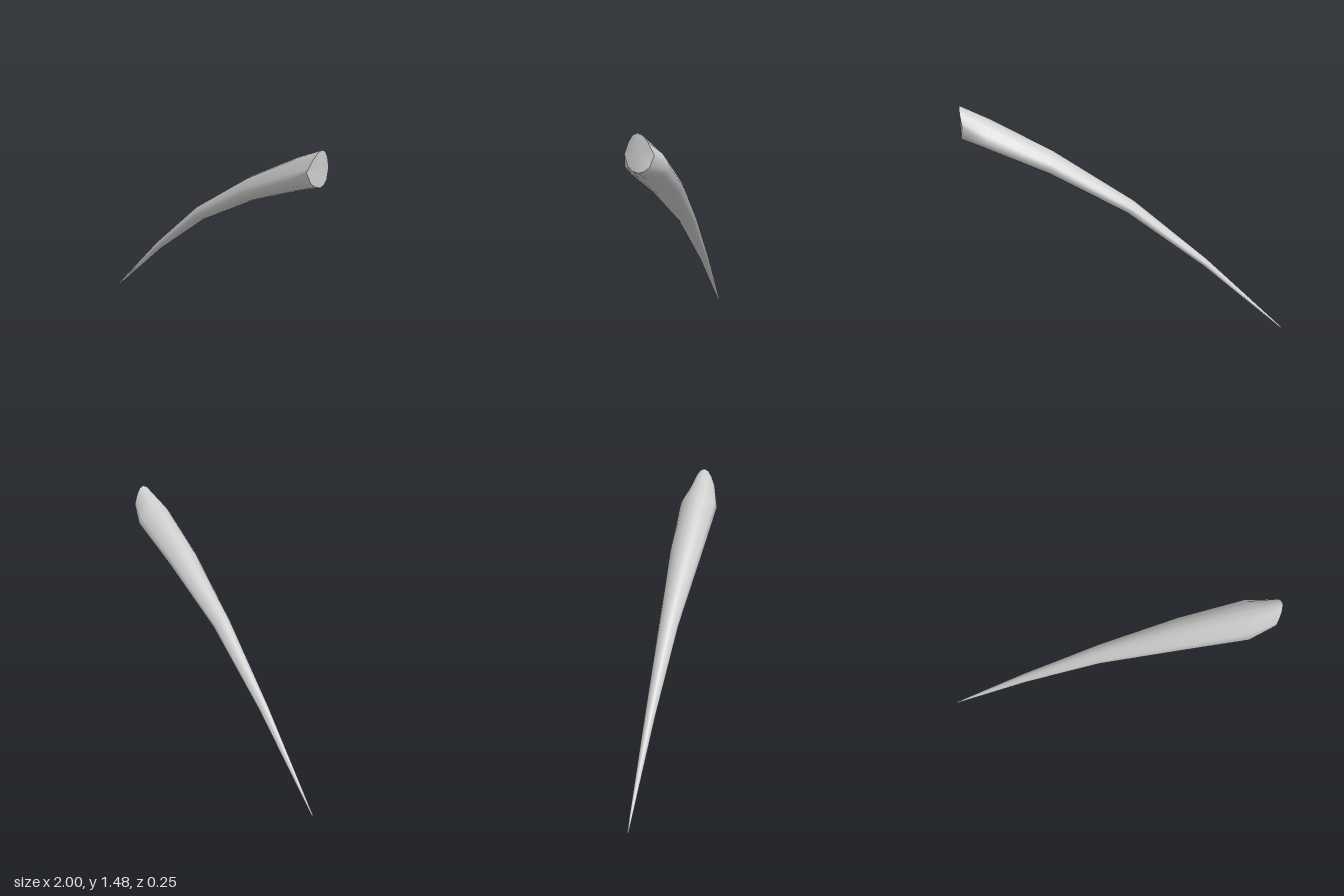
import * as THREE from 'three';

// Stations along the horn: [topX, topY, bottomX, bottomY, halfWidth]
const STATIONS = [
  [-1, 0.012, -0.997, 0, 0.005],
  [-0.5, 0.492, -0.485, 0.442, 0.032],
  [-0.04, 0.882, 0, 0.802, 0.062],
  [0.45, 1.2, 0.465, 1.056, 0.105],
  [0.815, 1.395, 0.84, 1.215, 0.125],
  [1, 1.48, 1, 1.275, 0.08],
];

// Half cross-section, narrow above and broad below: [width, height]
const HALF = [[0, 1], [0.34, 0.88], [0.64, 0.55], [0.86, 0.15], [1, -0.28], [0.72, -0.7], [0.36, -0.92], [0, -1]];
const SECTION = [...HALF, ...HALF.slice(1, -1).reverse().map(([w, h]) => [-w, h])];
const N = SECTION.length;

function ring([tx, ty, bx, by, half], isEnd) {
  return SECTION.map(([w, h]) => {
    const t = (1 + (isEnd && Math.abs(w) === 1 ? -0.1 : h)) / 2;
    const bow = isEnd ? -0.025 * w * w : 0; // the butt end bulges along its middle
    return [bx + (tx - bx) * t + bow, by + (ty - by) * t, w * half];
  });
}

function makeMesh(name, points, index, material) {
  const geometry = new THREE.BufferGeometry();
  geometry.setAttribute('position', new THREE.Float32BufferAttribute(points.flat(), 3));
  geometry.setIndex(index);
  geometry.computeVertexNormals();
  const mesh = new THREE.Mesh(geometry, material);
  mesh.name = name;
  return mesh;
}

export function createModel() {
  const group = new THREE.Group();
  group.name = 'curvedHorn';
  const material = new THREE.MeshStandardMaterial({ color: 0xcccccc });
  const rings = STATIONS.map((s, i) => ring(s, i === STATIONS.length - 1));

  // Tapering curved shaft
  const index = [];
  for (let i = 0; i < rings.length - 1; i++) {
    for (let j = 0; j < N; j++) {
      const a = i * N + j, b = i * N + (j + 1) % N;
      index.push(a, b, a + N, b, b + N, a + N);
    }
  }
  group.add(makeMesh('hornShaft', rings.flat(), index, material));

  // Closed ends: the broad butt and the tiny tip
  const cap = (name, points, centre, flip) => {
    const faces = [];
    for (let j = 0; j < N; j++) {
      const k = (j + 1) % N;
      faces.push(N, flip ? k : j, flip ? j : k);
    }
    group.add(makeMesh(name, [...points, centre], faces, material));
  };
  cap('buttEnd', rings[rings.length - 1], [1, 1.378, 0], false);
  cap('tipEnd', rings[0], [-1, 0.005, 0], true);
  return group;
}
